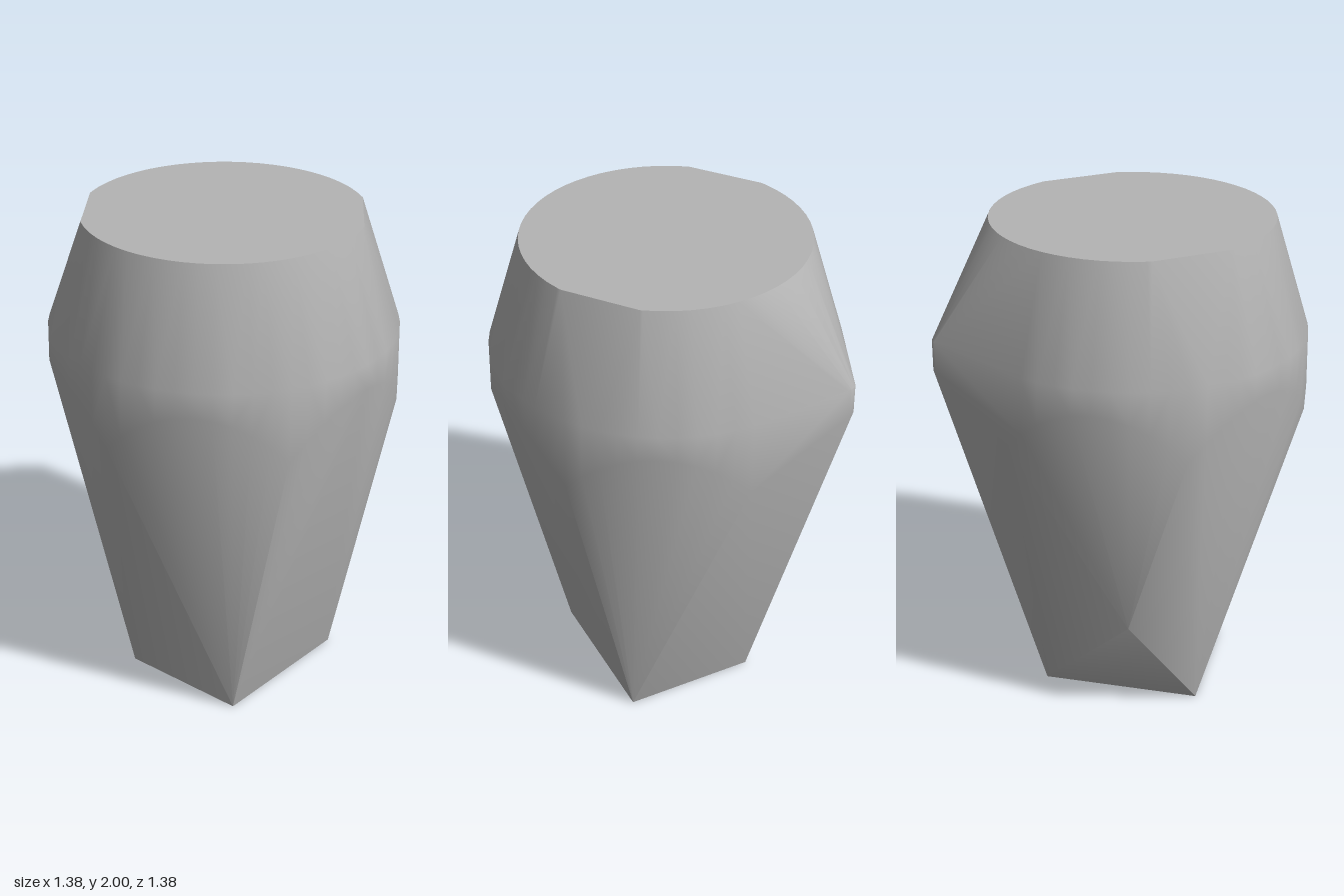
import * as THREE from 'three';
import { ConvexGeometry } from 'three/addons/geometries/ConvexGeometry.js';
import { toCreasedNormals } from 'three/addons/utils/BufferGeometryUtils.js';

const STEPS = 60;

export function createModel() {
  const stone = new THREE.MeshStandardMaterial({ color: 0xb4b4b4 });
  stone.name = 'stone grey';

  const points = [];
  const add = (x, y, z) => points.push(new THREE.Vector3(x, y, z));

  // rectangular foot, turned slightly about y
  for (const [x, z] of [[-0.16, 0.36], [0.37, 0.25], [0.25, -0.38], [-0.28, -0.27]]) add(x, 0, z);

  // low bulge on one side
  add(-0.48, 0.46, 0.2);

  for (let i = 0; i < STEPS; i++) {
    const a = (i / STEPS) * Math.PI * 2;
    const c = Math.cos(a), s = Math.sin(a);

    // flat top disc with two opposite straight cuts
    const dirX = 0.68, dirZ = -0.735;
    if (Math.abs(c * dirX + s * dirZ) < 0.965) add(0.555 * c, 2, 0.555 * s);

    // shoulder ring
    add(0.69 * c, 1.55, 0.69 * s);

    // scalloped lower rim: six flat faces cutting the round shoulder
    const t = a + THREE.MathUtils.degToRad(18.4);
    const phi = (i % (STEPS / 6)) * (Math.PI * 2 / STEPS) - Math.PI / 6;
    const y = 1.25 + 0.2 * (Math.cos(phi) - 0.866) / 0.134;
    add(0.692 * Math.cos(t), y, 0.692 * Math.sin(t));
  }
  // exact ends of the two straight cuts
  for (const k of [1, -1]) {
    add(0.235 * k, 2, -0.503 * k);
    add(0.472 * k, 2, -0.292 * k);
  }

  // small rounded corner sticking out of the shoulder at the back
  for (let i = 0; i < 5; i++) {
    const a = Math.PI * (1 + i / 8);
    for (const y of [1.46, 1.58]) add(-0.53 + 0.045 * Math.cos(a), y, -0.55 + 0.045 * Math.sin(a));
  }

  const body = new THREE.Mesh(toCreasedNormals(new ConvexGeometry(points), 0.6), stone);
  body.name = 'facetedBody';

  const group = new THREE.Group();
  group.name = 'facetedBlock';
  group.add(body);
  return group;
}
